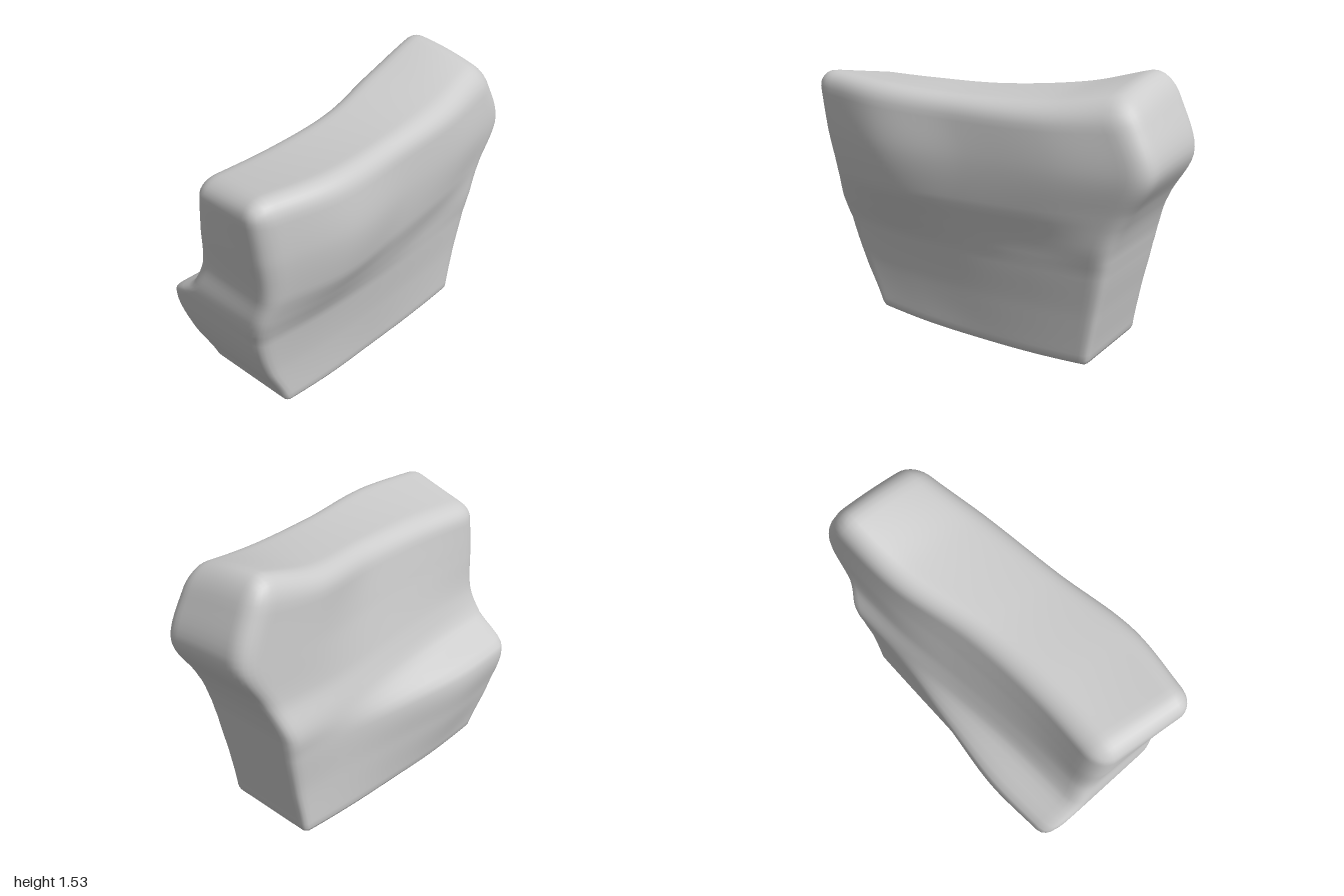
import * as THREE from 'three';
import { mergeVertices } from 'three/addons/utils/BufferGeometryUtils.js';

// Heights of the boulder's cross-sections, with front and back extent at each
const H = [0, 0.3, 0.55, 0.68, 0.85, 1.1, 1.43];
const FRONT = [0.7, 0.83, 0.9, 0.92, 0.91, 0.95, 1.0];
const BACK = [-0.66, -0.71, -0.76, -0.79, -0.86, -0.99, -0.86];

// Side profiles: a row per height, columns running front to back
const LEDGE_SIDE = [
  [-0.36, -0.36, -0.35, -0.35, -0.35],
  [-0.41, -0.43, -0.39, -0.36, -0.35],
  [-0.44, -0.45, -0.41, -0.37, -0.37],
  [-0.27, -0.28, -0.31, -0.35, -0.38],
  [-0.20, -0.22, -0.26, -0.31, -0.33],
  [-0.18, -0.18, -0.22, -0.30, -0.32],
  [-0.16, -0.14, -0.17, -0.28, -0.31],
];
const SMOOTH_SIDE = [
  [0.21, 0.21, 0.20, 0.20, 0.20],
  [0.22, 0.23, 0.23, 0.22, 0.21],
  [0.25, 0.27, 0.27, 0.25, 0.23],
  [0.29, 0.33, 0.31, 0.27, 0.25],
  [0.34, 0.41, 0.36, 0.31, 0.25],
  [0.37, 0.45, 0.38, 0.33, 0.26],
  [0.37, 0.43, 0.38, 0.33, 0.25],
];
// Height of the crown along its two edges, front to back
const TOP_LEDGE = [1.35, 1.37, 1.39, 1.44, 1.55];
const TOP_SMOOTH = [1.45, 1.43, 1.40, 1.40, 1.44];

const lerp = THREE.MathUtils.lerp;
const clamp = THREE.MathUtils.clamp;

// Smooth curve through a list, t counted in list steps
function curve(a, t) {
  const n = a.length - 1;
  const i = clamp(Math.floor(t), 0, n - 1);
  const f = t - i;
  const p1 = a[i], p2 = a[i + 1];
  const p0 = a[Math.max(i - 1, 0)], p3 = a[Math.min(i + 2, n)];
  return p1 + 0.5 * f * (p2 - p0 + f * (2 * p0 - 5 * p1 + 4 * p2 - p3 + f * (3 * (p1 - p2) + p3 - p0)));
}
const sheet = (rows, r, c) => curve(rows.map((row) => curve(row, c)), r);

function rowAt(y) {
  let i = 0;
  while (i < H.length - 2 && y > H[i + 1]) i++;
  return i + (y - H[i]) / (H[i + 1] - H[i]);
}

// A subdivided block, edges rounded, then bent onto the profiles
function boulderGeometry() {
  const size = new THREE.Vector3(0.6, 1.43, 1.8);
  const half = size.clone().multiplyScalar(0.5);
  let g = new THREE.BoxGeometry(size.x, size.y, size.z, 20, 44, 52);
  g.deleteAttribute('normal');
  g.deleteAttribute('uv');
  g = mergeVertices(g, 1e-4);
  const pos = g.attributes.position;
  const p = new THREE.Vector3(), core = new THREE.Vector3();
  for (let i = 0; i < pos.count; i++) {
    p.fromBufferAttribute(pos, i);
    // Tight edges at the base, softer ones at the crown
    const r = lerp(0.04, 0.11, clamp(p.y / size.y + 0.5, 0, 1));
    core.set(
      clamp(p.x, -half.x + r, half.x - r),
      clamp(p.y, -half.y + r, half.y - r),
      clamp(p.z, -half.z + r, half.z - r)
    );
    p.sub(core);
    if (p.length() > r) p.setLength(r);
    p.add(core);

    const u = p.x / size.x + 0.5;
    const v = p.y / size.y + 0.5;
    const w = 0.5 - p.z / size.z;
    const row = rowAt(v * 1.43), col = w * 4;
    const x = lerp(sheet(LEDGE_SIDE, row, col), sheet(SMOOTH_SIDE, row, col), u);
    // The upper front leans out towards the smooth side
    const lean = 0.11 * (1 - u) * v * v * v;
    const z = lerp(curve(FRONT, row) - lean, curve(BACK, row), w);
    const top = lerp(curve(TOP_LEDGE, col), curve(TOP_SMOOTH, col), lerp(u, u * u, w));
    // Crown follows its edges, underside sags slightly in the middle
    const lift = 0.035 * (2 * w - 1) ** 2 * (1 - v);
    const y = v * 1.43 + (top - 1.43) * v ** 4 + lift;
    pos.setXYZ(i, x, y, z);
  }
  g.computeVertexNormals();
  return g;
}

export function createModel() {
  const group = new THREE.Group();
  group.name = 'rock';
  const boulder = new THREE.Mesh(
    boulderGeometry(),
    new THREE.MeshStandardMaterial({ color: 0xcccccc })
  );
  boulder.name = 'boulder';
  group.add(boulder);
  return group;
}
